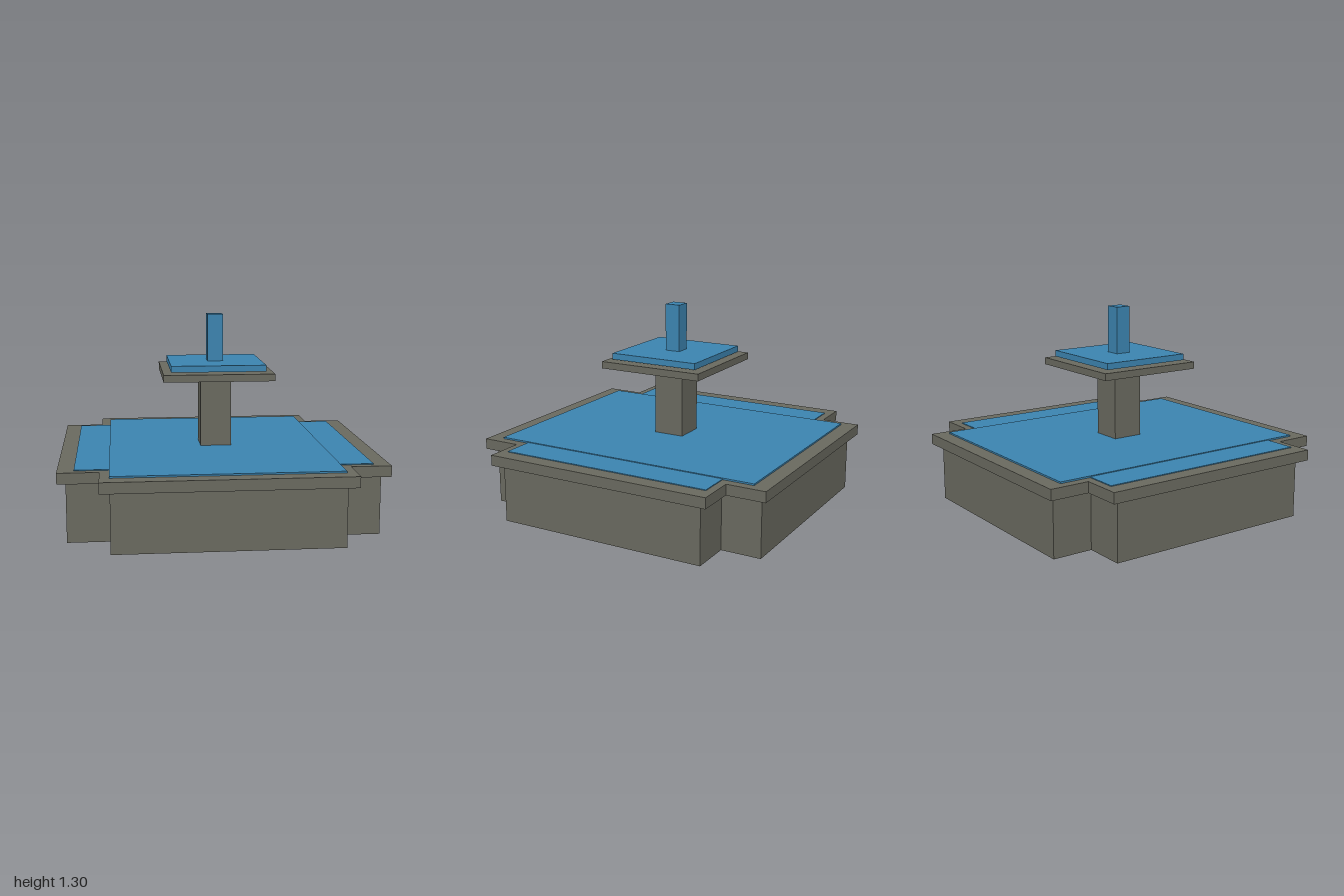
import * as THREE from 'three';

export function createModel() {
  const model = new THREE.Group();
  const stone = new THREE.MeshStandardMaterial({ color: 0x69695f });
  stone.name = 'grey stone';
  const water = new THREE.MeshStandardMaterial({ color: 0x3c84b0 });
  water.name = 'blue water';

  // Box centred on the vertical axis, given half extents and bottom/top heights
  function block(parent, name, material, halfX, halfZ, bottom, top) {
    const mesh = new THREE.Mesh(
      new THREE.BoxGeometry(halfX * 2, top - bottom, halfZ * 2), material);
    mesh.position.y = (bottom + top) / 2;
    mesh.name = name;
    parent.add(mesh);
  }

  // Two crossed blocks forming a plus-shaped layer
  function cross(name, material, long, shortX, shortZ, bottom, topX, topZ) {
    const layer = new THREE.Group();
    layer.name = name;
    block(layer, name + 'Wide', material, long, shortZ, bottom, topX);
    block(layer, name + 'Deep', material, shortX, long, bottom, topZ);
    model.add(layer);
  }

  // Basin
  cross('basinWall', stone, 0.95, 0.69, 0.693, 0, 0.372, 0.372);
  cross('basinRim', stone, 1, 0.75, 0.75, 0.372, 0.44, 0.44);
  cross('basinWater', water, 0.9, 0.692, 0.7, 0.362, 0.445, 0.45);

  // Pedestal with upper bowl
  block(model, 'pedestal', stone, 0.1, 0.1, 0.4, 0.91);
  block(model, 'upperBowl', stone, 0.35, 0.35, 0.905, 0.95);
  block(model, 'upperWater', water, 0.3, 0.3, 0.96, 1.0);

  // Water jet, reaching down to the bowl
  block(model, 'waterJet', water, 0.05, 0.05, 0.94, 1.303);

  return model;
}
